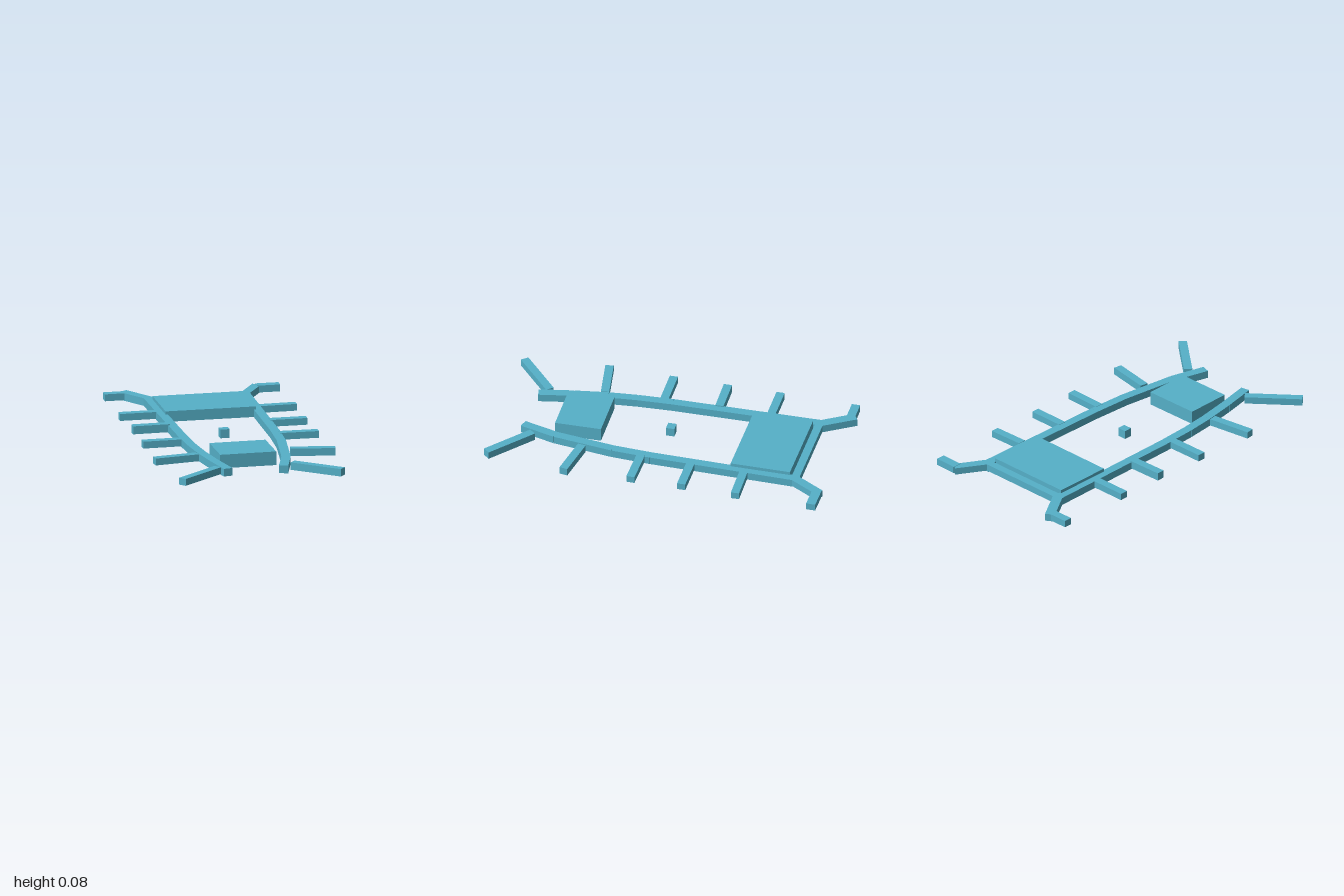
import * as THREE from 'three';

export function createModel() {
  const model = new THREE.Group();
  const material = new THREE.MeshStandardMaterial({ color: 0x55b0c8, flatShading: true });

  // Straight bar between two plan points [x, z], from y0 up to y1
  function bar(name, [ax, az], [bx, bz], width = 0.046, y0 = 0.004, y1 = 0.042) {
    const dx = bx - ax, dz = bz - az;
    const mesh = new THREE.Mesh(new THREE.BoxGeometry(Math.hypot(dx, dz), y1 - y0, width), material);
    mesh.name = name;
    mesh.position.set((ax + bx) / 2, (y0 + y1) / 2, (az + bz) / 2);
    mesh.rotation.y = -Math.atan2(dz, dx);
    model.add(mesh);
  }

  // Bent side rails, a chain of bars each
  function rail(name, points) {
    for (let i = 0; i < points.length - 1; i++) bar(name, points[i], points[i + 1], 0.05, 0, 0.042);
  }
  rail('rightRail', [[-0.11, -0.8], [-0.275, 0], [-0.307, 0.19], [-0.325, 0.345], [-0.335, 0.53], [-0.338, 0.72]]);
  rail('leftRail', [[0.41, -0.7], [0.222, 0.1], [0.165, 0.305], [0.05, 0.615], [-0.045, 0.79]]);

  // Beam closing the back, with a cranked arm at each corner
  bar('backBeam', [-0.11, -0.79], [0.41, -0.677], 0.043);
  bar('backRightArm', [-0.174, -0.98], [-0.103, -0.785], 0.054, 0);
  bar('backRightArmTip', [-0.285, -0.977], [-0.17, -0.953]);
  bar('backLeftArm', [0.395, -0.665], [0.535, -0.812], 0.05);
  bar('backLeftArmTip', [0.525, -0.798], [0.648, -0.77], 0.05, 0.006, 0.044);

  // Side fingers, inner end to outer end
  const rightFingers = [
    [[-0.19, -0.53], [-0.383, -0.571]], [[-0.24, -0.25], [-0.437, -0.288]],
    [[-0.285, 0.05], [-0.512, 0.003]], [[-0.355, 0.365], [-0.6, 0.35]], [[-0.372, 0.66], [-0.646, 0.805]],
  ];
  const leftFingers = [
    [[0.365, -0.4], [0.56, -0.363]], [[0.29, -0.116], [0.487, -0.073]],
    [[0.225, 0.152], [0.43, 0.2]], [[0.142, 0.47], [0.365, 0.56]], [[0.032, 0.737], [0.217, 0.977]],
  ];
  rightFingers.forEach(([a, b], i) => bar('rightFinger' + (i + 1), a, b, 0.045, 0.004, i === 1 ? 0.048 : 0.042));
  leftFingers.forEach(([a, b], i) => bar('leftFinger' + (i + 1), a, b, 0.045, i < 3 ? 0.007 : 0.003, 0.044));

  // Back plate, front block and small centre cube
  bar('backPlate', [-0.138, -0.596], [0.345, -0.49], 0.327, 0.002, 0.06);
  bar('frontBlock', [-0.285, 0.434], [0.016, 0.495], 0.252, 0, 0.075);
  bar('centreCube', [-0.055, -0.006], [-0.006, 0.004], 0.046, 0.008, 0.056);

  return model;
}
